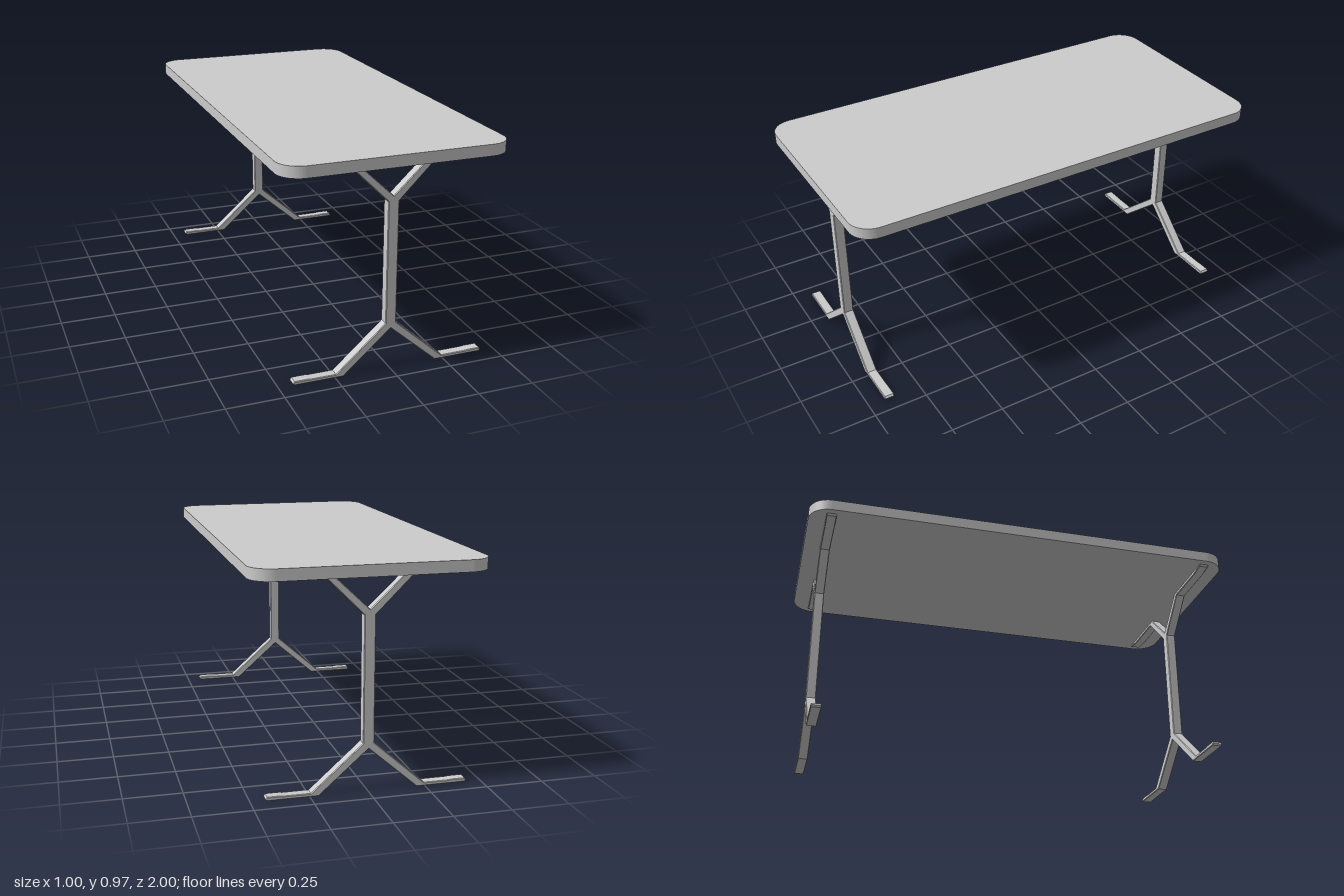
import * as THREE from 'three';
import { toCreasedNormals } from 'three/addons/utils/BufferGeometryUtils.js';

const material = new THREE.MeshStandardMaterial({ color: 0xcccccc });

// Tabletop: rounded rectangle slab lying flat
function makeTabletop() {
  const w = 0.5, l = 1, r = 0.1, thickness = 0.05;
  const shape = new THREE.Shape();
  shape.moveTo(w, -l + r);
  shape.absarc(w - r, l - r, r, 0, Math.PI / 2);
  shape.absarc(-w + r, l - r, r, Math.PI / 2, Math.PI);
  shape.absarc(-w + r, -l + r, r, Math.PI, Math.PI * 1.5);
  shape.absarc(w - r, -l + r, r, Math.PI * 1.5, Math.PI * 2);
  const geometry = new THREE.ExtrudeGeometry(shape, { depth: thickness, bevelEnabled: false, curveSegments: 14 });
  geometry.rotateX(-Math.PI / 2);
  geometry.translate(0, 0.927, 0);
  const mesh = new THREE.Mesh(toCreasedNormals(geometry, 0.6), material);
  mesh.name = 'tabletop';
  return mesh;
}

// Leg frame: mirrored outline of foot, post and forked top arms, with chamfered edges
function makeLegGeometry() {
  const half = [
    [0, 0.19], [0.213, 0.003], [0.43, 0.003], [0.437, 0.01], [0.43, 0.02], [0.37, 0.02],
    [0.36, 0.018], [0.246, 0.018], [0.024, 0.215], [0.024, 0.757],
    [0.178, 0.91], [0.39, 0.91], [0.46, 0.919], [0.468, 0.927], [0.154, 0.927], [0, 0.781],
  ];
  const mirrored = half.slice(1, -1).reverse().map(([x, y]) => [-x, y]);
  const outline = [...half, ...mirrored].map(([x, y]) => new THREE.Vector2(x, y));
  const bevel = 0.003, width = 0.046;
  const geometry = new THREE.ExtrudeGeometry(new THREE.Shape(outline), {
    depth: width - 2 * bevel,
    bevelEnabled: true, bevelSegments: 1,
    bevelSize: bevel, bevelThickness: bevel, bevelOffset: -bevel,
  });
  geometry.translate(0, 0, -width / 2 + bevel);
  return toCreasedNormals(geometry, 0.3);
}

export function createModel() {
  const table = new THREE.Group();
  table.name = 'table';
  table.add(makeTabletop());

  // One leg frame near each end
  const legGeometry = makeLegGeometry();
  for (const [name, z] of [['frontLeg', 0.9], ['backLeg', -0.9]]) {
    const leg = new THREE.Mesh(legGeometry, material);
    leg.name = name;
    leg.position.z = z;
    table.add(leg);
  }
  return table;
}
